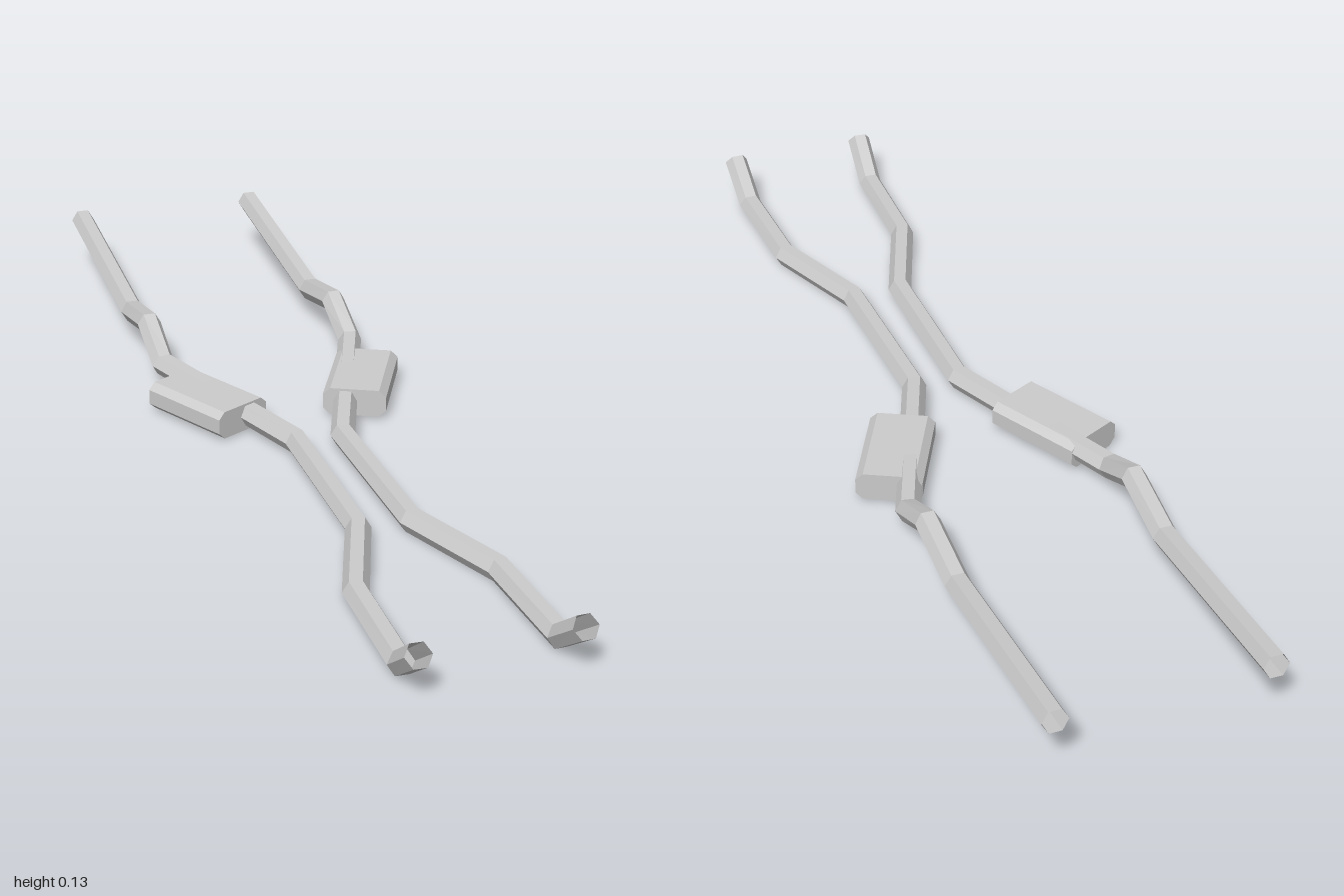
import * as THREE from 'three';

const SIDES = 6;
const PIPE_RADIUS = 0.0238;

// Centre line of the left pipe, front tip to rear tip
const PATH = [
  [0.142, 0.083, 0.987], [0.138, 0.021, 0.9], [0.13, 0.022, 0.66], [0.05, 0.024, 0.445],
  [0.046, 0.03, 0.085], [0.197, 0.045, -0.31], [0.197, 0.092, -0.415],
  [0.195, 0.062, -0.56], [0.193, 0.11, -0.997],
];

// Hexagonal tube with a ring at each bend, open at both ends
function pipeGeometry(points) {
  const up = new THREE.Vector3(0, 1, 0);
  const positions = [];
  const indices = [];
  points.forEach((p, i) => {
    const before = p.clone().sub(points[Math.max(i - 1, 0)]).normalize();
    const after = points[Math.min(i + 1, points.length - 1)].clone().sub(p).normalize();
    const tangent = before.add(after).normalize();
    const side = up.clone().cross(tangent).normalize();
    const rise = tangent.clone().cross(side);
    for (let k = 0; k < SIDES; k++) {
      const a = (k / SIDES) * Math.PI * 2;
      const v = p.clone()
        .addScaledVector(side, Math.cos(a) * PIPE_RADIUS)
        .addScaledVector(rise, Math.sin(a) * PIPE_RADIUS);
      positions.push(v.x, v.y, v.z);
      if (i < points.length - 1) {
        const n = (k + 1) % SIDES;
        const r0 = i * SIDES, r1 = r0 + SIDES;
        indices.push(r0 + k, r0 + n, r1 + k, r0 + n, r1 + n, r1 + k);
      }
    }
  });
  const geometry = new THREE.BufferGeometry();
  geometry.setAttribute('position', new THREE.Float32BufferAttribute(positions, 3));
  geometry.setIndex(indices);
  geometry.computeVertexNormals();
  return geometry;
}

// Flat box with chamfered long edges
function mufflerGeometry(w, h, length, cx, cy) {
  const shape = new THREE.Shape([
    [w, cy - h], [w, h - cy], [w - cx, h], [cx - w, h],
    [-w, h - cy], [-w, cy - h], [cx - w, -h], [w - cx, -h],
  ].map(([x, y]) => new THREE.Vector2(x, y)));
  return new THREE.ExtrudeGeometry(shape, { depth: length, bevelEnabled: false })
    .translate(0, 0, -length / 2);
}

export function createModel() {
  const model = new THREE.Group();
  model.name = 'dualExhaust';
  const pipeMaterial = new THREE.MeshStandardMaterial({
    color: 0xcccccc, flatShading: true, side: THREE.DoubleSide,
  });
  const mufflerMaterial = new THREE.MeshStandardMaterial({ color: 0xcccccc, flatShading: true });

  for (const [name, s] of [['left', 1], ['right', -1]]) {
    const line = new THREE.Group();
    line.name = `${name}ExhaustLine`;

    const pipe = new THREE.Mesh(
      pipeGeometry(PATH.map(([x, y, z]) => new THREE.Vector3(s * x, y, z))), pipeMaterial);
    pipe.name = `${name}Pipe`;

    const muffler = new THREE.Mesh(mufflerGeometry(0.062, 0.0275, 0.2, 0.014, 0.013), mufflerMaterial);
    muffler.name = `${name}Muffler`;
    muffler.position.set(s * 0.158, 0.0325, -0.13);
    muffler.rotation.y = -s * 0.464;

    line.add(pipe, muffler);
    model.add(line);
  }
  return model;
}
